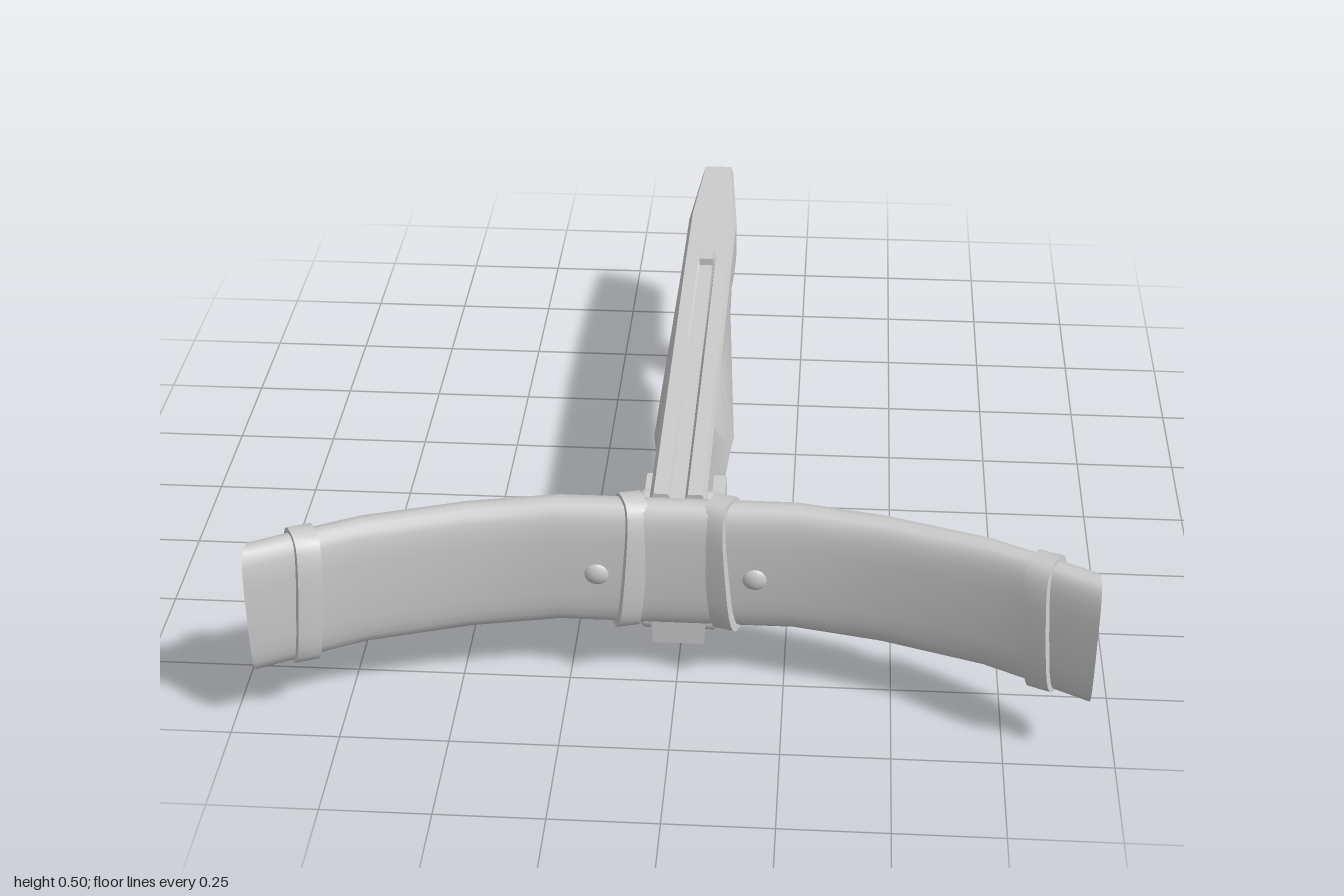
import * as THREE from 'three';
import { toCreasedNormals } from 'three/addons/utils/BufferGeometryUtils.js';

const material = new THREE.MeshStandardMaterial({ color: 0xcccccc });

// Closed skin through rings of [x, y, z] points, with fan caps at both ends
function loft(rings, crease = 0.6) {
  const n = rings[0].length, pos = [], idx = [];
  rings.forEach(r => r.forEach(p => pos.push(...p)));
  for (let i = 0; i < rings.length - 1; i++) {
    for (let j = 0; j < n; j++) {
      const a = i * n + j, b = i * n + (j + 1) % n;
      idx.push(a, b, b + n, a, b + n, a + n);
    }
  }
  [0, rings.length - 1].forEach((i, end) => {
    const centre = pos.length / 3;
    pos.push(...[0, 1, 2].map(k => rings[i].reduce((s, p) => s + p[k], 0) / n));
    for (let j = 0; j < n; j++) {
      const a = i * n + j, b = i * n + (j + 1) % n;
      if (end) idx.push(centre, a, b); else idx.push(centre, b, a);
    }
  });
  const g = new THREE.BufferGeometry();
  g.setAttribute('position', new THREE.Float32BufferAttribute(pos, 3));
  g.setIndex(idx);
  return toCreasedNormals(g, crease);
}

// Rounded-rectangle ring in a plane of constant x
function limbRing(x, y, z, hy, hz, sides = 24) {
  const soft = v => Math.sign(v) * Math.pow(Math.abs(v), 0.6);
  return Array.from({ length: sides }, (_, i) => {
    const a = i / sides * Math.PI * 2;
    return [x, y + hy * soft(Math.cos(a)), z + hz * soft(Math.sin(a))];
  });
}

// Side-profile shape (z, y) extruded across x
function sideExtrude(points, width) {
  const g = new THREE.ExtrudeGeometry(new THREE.Shape(points.map(p => new THREE.Vector2(...p))),
    { depth: width, bevelEnabled: false });
  return g.translate(0, 0, -width / 2).rotateY(-Math.PI / 2);
}

export function createModel() {
  const model = new THREE.Group();
  const add = (name, geometry, x = 0, y = 0, z = 0) => {
    const mesh = new THREE.Mesh(geometry, material);
    mesh.name = name;
    mesh.position.set(x, y, z);
    model.add(mesh);
    return mesh;
  };

  // Stock: z, bottom, top, half width at top, half width at the bulge, groove depth
  const stations = [
    [-1, 0.30, 0.48, 0.042, 0.042, 0], [-0.72, 0.30, 0.475, 0.065, 0.065, 0],
    [-0.59, 0.32, 0.48, 0.065, 0.065, 0], [-0.57, 0.37, 0.48, 0.065, 0.065, 0],
    [-0.47, 0.37, 0.483, 0.065, 0.065, 0], [-0.41, 0.30, 0.485, 0.065, 0.065, 0.004],
    [0.10, 0.215, 0.48, 0.065, 0.1, 0.012], [0.14, 0.205, 0.48, 0.065, 0.094, 0.012],
    [0.36, 0.06, 0.48, 0.065, 0.065, 0.014], [0.68, 0.06, 0.48, 0.065, 0.065, 0.014],
  ];
  add('stock', loft(stations.map(([z, b, t, w, m, g]) => {
    const low = b + (t - b) * 0.2;
    const half = [[w * 0.92, b], [m, low], [w, t - 0.02], [w * 0.85, t], [w * 0.35, t], [w * 0.25, t - g]];
    return [...half, ...half.map(([x, y]) => [-x, y]).reverse()].map(([x, y]) => [x, y, z]);
  }), 0.35));

  // Bow limbs: one curved slab, centre line in x and z
  const arc = [[0, 0.717], [0.27, 0.717], [0.47, 0.757], [0.70, 0.83], [0.795, 0.878], [0.932, 0.952]];
  const line = [...arc.slice(1).reverse().map(([x, z]) => [-x, z]), ...arc];
  add('bow', loft(line.map(([x, z]) => limbRing(x, 0.322, z, 0.162, 0.047)), 0.7));

  for (const s of [-1, 1]) {
    // Straps wrapped round the bow beside the stock and near the tips
    for (const [name, x, z, yaw, hy, width] of [
      ['centreStrap', 0.112, 0.717, 0.38, 0.171, 0.05],
      ['tipStrap', 0.828, 0.896, 0.49, 0.17, 0.055],
    ]) {
      const rings = [-0.5, 0.5].map(k => limbRing(k * width, 0, 0, hy, 0.06));
      const strap = add(name, loft(rings, 0.7), s * x, 0.322, z);
      strap.rotation.set(0, -s * yaw, s * 0.08, 'YXZ');
    }

    // Domed studs on the bow face
    const stud = new THREE.SphereGeometry(0.03, 20, 8, 0, Math.PI * 2, 0, Math.PI / 2);
    add('bowStud', stud.rotateX(Math.PI / 2).scale(1, 1, 0.6), s * 0.18, 0.31, 0.757);

    // Bolts and square plate on each side of the stock
    for (const y of [0.10, 0.42]) {
      const profile = [[0, 0.032], [0.016, 0.032], [0.027, 0.026], [0.03, 0.016], [0.03, -0.01]];
      const bolt = new THREE.LatheGeometry(profile.reverse().map(p => new THREE.Vector2(...p)), 20);
      add('stockBolt', bolt.rotateZ(-s * Math.PI / 2), s * 0.062, y, 0.625);
    }
    add('sidePlate', new THREE.BoxGeometry(0.04, 0.09, 0.09), s * 0.076, 0.28, 0.405);
  }

  // Grip, trigger and rear sight
  add('grip', sideExtrude([[-0.71, 0.005], [-0.58, 0], [-0.585, 0.36], [-0.715, 0.36]], 0.044));
  add('trigger', sideExtrude([[-0.585, 0.38], [-0.575, 0.33], [-0.55, 0.295], [-0.515, 0.278],
    [-0.49, 0.285], [-0.52, 0.305], [-0.54, 0.335], [-0.545, 0.38]], 0.026));
  add('sight', sideExtrude([[-0.48, 0.47], [-0.41, 0.47], [-0.41, 0.5], [-0.45, 0.5], [-0.48, 0.485]]
    .map(([z, y]) => [z, y]), 0.036));
  return model;
}
